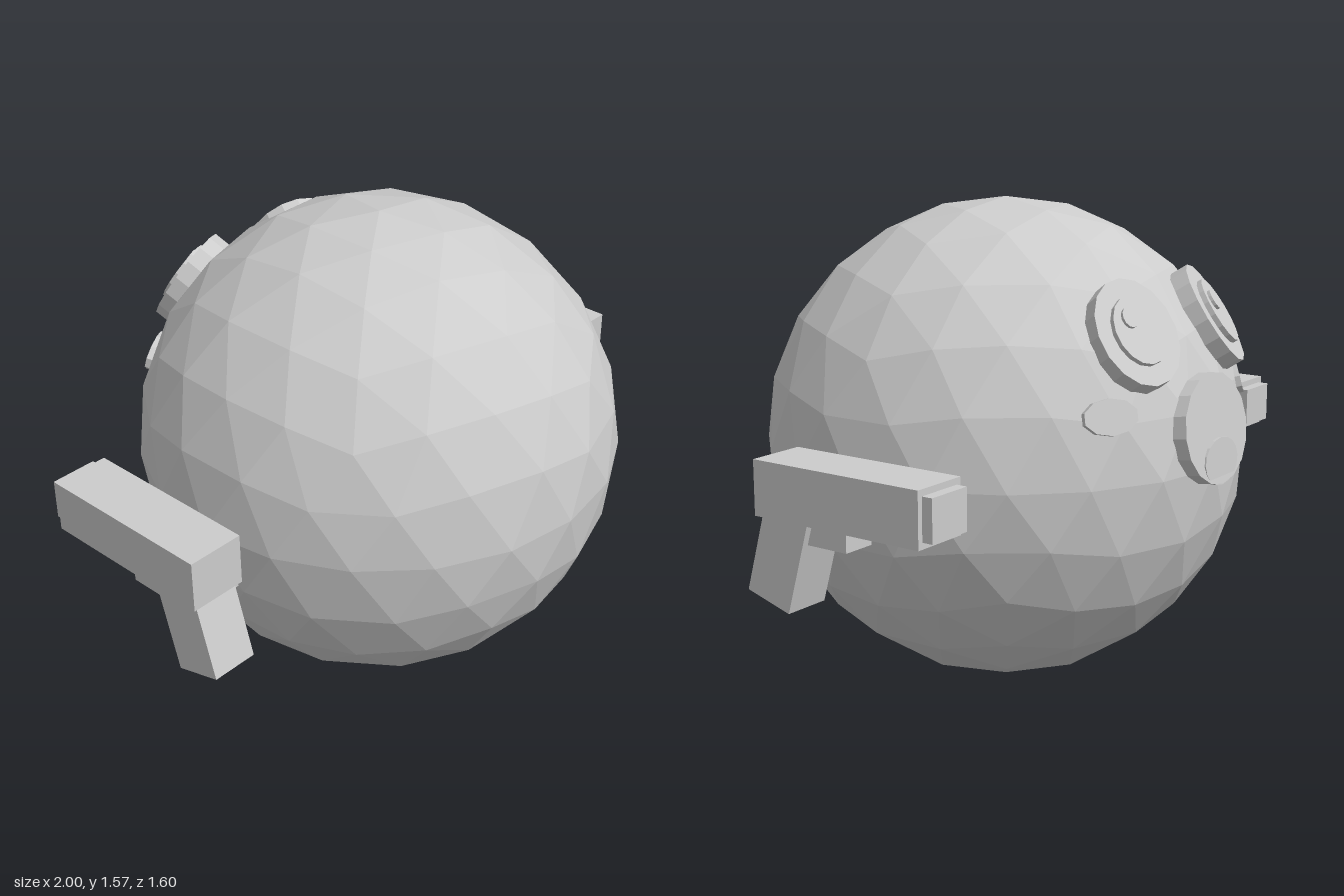
import * as THREE from 'three';

const CENTER = new THREE.Vector3(0, 0.787, 0.013);
const RADIUS = 0.787;

// Icosphere with a vertex at each pole, split by repeated edge midpoints
function icosphere(radius, levels) {
  const ring = (i, y, turn) => {
    const a = (i * 72 + turn) * Math.PI / 180, r = 2 / Math.sqrt(5);
    return new THREE.Vector3(r * Math.cos(a), y, r * Math.sin(a));
  };
  const h = 1 / Math.sqrt(5);
  const top = new THREE.Vector3(0, 1, 0), bottom = new THREE.Vector3(0, -1, 0);
  let faces = [];
  for (let i = 0; i < 5; i++) {
    const u0 = ring(i, h, 0), u1 = ring(i + 1, h, 0);
    const l0 = ring(i, -h, 36), l1 = ring(i + 1, -h, 36);
    faces.push([top, u1, u0], [u0, u1, l0], [u1, l1, l0], [bottom, l0, l1]);
  }
  const mid = (a, b) => a.clone().add(b).normalize();
  for (let n = 0; n < levels; n++) {
    faces = faces.flatMap(([a, b, c]) => {
      const ab = mid(a, b), bc = mid(b, c), ca = mid(c, a);
      return [[a, ab, ca], [ab, b, bc], [ca, bc, c], [ab, bc, ca]];
    });
  }
  const geometry = new THREE.BufferGeometry().setFromPoints(
    faces.flat().map(p => p.clone().multiplyScalar(radius)));
  geometry.computeVertexNormals();
  return geometry;
}

export function createModel() {
  const model = new THREE.Group();
  model.name = 'roundCreature';
  const grey = new THREE.MeshStandardMaterial({ color: 0xcccccc, flatShading: true });
  grey.name = 'lightGrey';

  function add(parent, name, geometry, x = 0, y = 0, z = 0) {
    const mesh = new THREE.Mesh(geometry, grey);
    mesh.name = name;
    mesh.position.set(x, y, z);
    parent.add(mesh);
    return mesh;
  }

  // Box given by its centre x, width and y / z ranges
  function box(parent, name, x, w, y0, y1, z0, z1) {
    return add(parent, name, new THREE.BoxGeometry(w, y1 - y0, z1 - z0),
      x, (y0 + y1) / 2, (z0 + z1) / 2);
  }

  // Oval disc facing local +z, between depths z0 and z1
  function disc(parent, name, rx, ry, z0, z1, sides, x = 0, y = 0) {
    const geometry = new THREE.CylinderGeometry(1, 1, z1 - z0, sides);
    geometry.rotateX(Math.PI / 2).scale(rx, ry, 1);
    return add(parent, name, geometry, x, y, (z0 + z1) / 2);
  }

  // Group at the body centre whose +z points outward along a direction
  function facing(name, x, y, z) {
    const group = new THREE.Group();
    group.name = name;
    group.position.copy(CENTER);
    group.lookAt(CENTER.x + x, CENTER.y + y, CENTER.z + z);
    model.add(group);
    return group;
  }

  add(model, 'body', icosphere(RADIUS, 2), CENTER.x, CENTER.y, CENTER.z);

  for (const s of [1, -1]) {
    const side = s > 0 ? 'left' : 'right';

    // Eye, pupil and glint
    const eye = facing(side + 'Eye', s * 0.225, 0.42, -0.62);
    disc(eye, 'eyeDisc', 0.145, 0.175, 0.74, 0.815, 16);
    disc(eye, 'pupil', 0.093, 0.112, 0.80, 0.832, 16);
    disc(eye, 'glint', 0.027, 0.033, 0.82, 0.842, 12, -0.03, 0.038);

    // Cheek
    const cheek = facing(side + 'Cheek', s * 0.39, 0.21, -0.655);
    disc(cheek, 'cheekDisc', 0.09, 0.055, 0.74, 0.793, 10);

    // Arm holding a blaster
    const blaster = new THREE.Group();
    blaster.name = side + 'Blaster';
    model.add(blaster);
    box(blaster, 'arm', s * 0.80, 0.20, 0.62, 0.74, -0.03, 0.12);
    box(blaster, 'barrel', s * 0.905, 0.19, 0.705, 0.875, -0.415, 0.195);
    box(blaster, 'muzzle', s * 0.905, 0.155, 0.725, 0.855, -0.45, -0.40);
    box(blaster, 'trigger', s * 0.905, 0.11, 0.635, 0.69, -0.12, 0.05);
    const grip = add(blaster, 'grip', new THREE.BoxGeometry(0.155, 0.32, 0.167),
      s * 0.905, 0.596, 0.125);
    grip.rotation.x = -0.28;
  }

  // Snout with a slightly tilted mouth plate
  const snout = facing('snout', 0, 0.123, -0.78);
  disc(snout, 'snoutDisc', 0.188, 0.172, 0.74, 0.80, 16);
  const mouth = new THREE.Group();
  mouth.name = 'mouth';
  mouth.position.set(0, 0.812, -0.797);
  mouth.lookAt(0, 0.882, -1.797);
  model.add(mouth);
  disc(mouth, 'mouthPlate', 0.10, 0.073, -0.02, 0, 16);

  return model;
}
